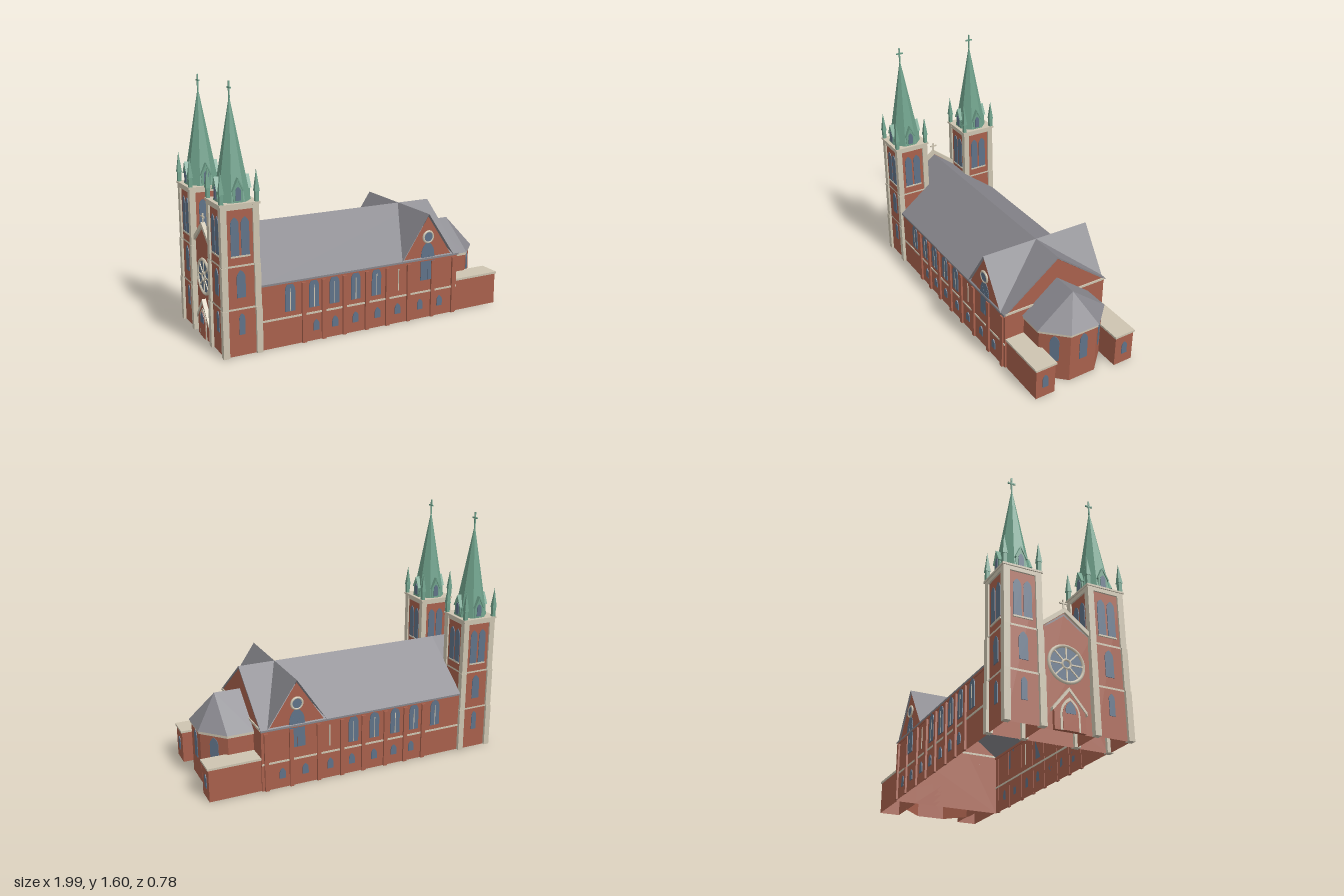
import * as THREE from 'three';

const mat = (name, color) => Object.assign(
  new THREE.MeshStandardMaterial({ color, side: THREE.DoubleSide }), { name });

export function createModel() {
  const root = new THREE.Group();
  root.name = 'church';
  const brick = mat('brick', 0xa8604c), stone = mat('stone', 0xcdc4b0),
    slate = mat('slate', 0x86858b), copper = mat('copper', 0x6fa18b), glass = mat('glass', 0x5f7288);

  const add = (parent, name, geo, m, x = 0, y = 0, z = 0, ry = 0) => {
    const mesh = new THREE.Mesh(geo, m);
    mesh.name = name;
    mesh.position.set(x, y, z);
    mesh.rotation.y = ry;
    parent.add(mesh);
    return mesh;
  };
  const box = (p, name, m, w, h, d, x, y, z, ry) =>
    add(p, name, new THREE.BoxGeometry(w, h, d), m, x, y, z, ry);
  // flat polygons, each fanned into triangles
  const faces = (polys) => {
    const v = [];
    for (const p of polys)
      for (let i = 1; i < p.length - 1; i++) v.push(...p[0], ...p[i], ...p[i + 1]);
    const g = new THREE.BufferGeometry();
    g.setAttribute('position', new THREE.Float32BufferAttribute(v, 3));
    g.computeVertexNormals();
    return g;
  };
  // open wall ring over a plan of [x, z] points
  const walls = (plan, y0, y1) => faces(plan.map(([x, z], i) => {
    const [u, w] = plan[(i + 1) % plan.length];
    return [[x, y0, z], [u, y0, w], [u, y1, w], [x, y1, z]];
  }));
  const rect = (x0, x1, z0, z1) => [[x0, z1], [x1, z1], [x1, z0], [x0, z0]];
  const extrude = (pts, depth) => new THREE.ExtrudeGeometry(
    new THREE.Shape(pts.map(([x, y]) => new THREE.Vector2(x, y))), { depth, bevelEnabled: false });
  // thin pointed-arch panel
  const lancet = (p, name, m, w, h, x, y, z, ry = 0, depth = 0.006) => {
    const s = new THREE.Shape(), a = w / 2, k = h - w * 0.85;
    s.moveTo(-a, 0);
    s.lineTo(a, 0);
    s.lineTo(a, k);
    s.quadraticCurveTo(a, k + w * 0.5, 0, h);
    s.quadraticCurveTo(-a, k + w * 0.5, -a, k);
    return add(p, name, new THREE.ExtrudeGeometry(s, { depth, bevelEnabled: false, curveSegments: 5 }), m, x, y, z, ry);
  };
  // roof shell running along x
  const chevron = (name, x0, x1, half, eave, ridge) => {
    const t = 0.012;
    const g = extrude([[-half, eave], [0, ridge], [half, eave], [half, eave - t], [0, ridge - t], [-half, eave - t]], x1 - x0);
    g.rotateY(Math.PI / 2);
    return add(root, name, g, slate, x0, 0, 0);
  };
  const cross = (p, m, x, y, z, h, arm) => {
    box(p, 'crossPost', m, 0.008, h, 0.008, x, y + h / 2, z);
    box(p, 'crossArm', m, 0.008, 0.009, arm, x, y + h * 0.62, z);
  };

  // nave
  add(root, 'naveWalls', faces([-1, 1].map(s =>
    [[-0.77, 0, s * 0.37], [0.655, 0, s * 0.37], [0.655, 0.41, s * 0.37], [-0.77, 0.41, s * 0.37]])), brick);
  for (const x of [0.655, -0.77])
    add(root, 'naveEndGable', faces([[[x, 0, 0.37], [x, 0, -0.37], [x, 0.405, -0.37], [x, 0.685, 0], [x, 0.405, 0.37]]]), brick);
  chevron('naveRoof', -0.755, 0.66, 0.38, 0.41, 0.70);
  chevron('frontRoof', -0.965, -0.755, 0.16, 0.578, 0.70);
  box(root, 'endBand', stone, 0.008, 0.014, 0.74, 0.658, 0.41, 0);

  // bays along both long sides
  const buttresses = [-0.475, -0.34, -0.195, -0.035, 0.115, 0.275, 0.46, 0.625];
  for (const s of [1, -1]) {
    const z = s * 0.37, ry = s > 0 ? 0 : Math.PI;
    box(root, 'sillBand', stone, 1.405, 0.012, 0.008, -0.048, 0.18, z);
    box(root, 'eaveBand', brick, 1.405, 0.016, 0.012, -0.048, 0.397, z);
    for (const x of buttresses) box(root, 'buttress', brick, 0.026, 0.385, 0.016, x, 0.1925, z + s * 0.005);
    for (const x of [-0.565, -0.405, -0.265, -0.115, 0.035]) {
      lancet(root, 'naveWindow', glass, 0.066, 0.185, x, 0.218, z, ry);
      box(root, 'mullion', stone, 0.005, 0.14, 0.003, x, 0.29, z + s * 0.006);
    }
    box(root, 'mullion', stone, 0.006, 0.145, 0.008, 0.2, 0.293, z);
    for (const x of [-0.39, -0.26, -0.115, 0.045, 0.195, 0.367, 0.52])
      lancet(root, 'lowerWindow', glass, 0.04, 0.07, x, 0.065, z, ry);

    // cross gable, its window and roof
    add(root, 'transeptGable', faces([[[0.23, 0.4, s * 0.372], [0.61, 0.4, s * 0.372], [0.42, 0.685, s * 0.372]]]), brick);
    for (const d of [-0.027, 0.027])
      lancet(root, 'transeptWindow', glass, 0.05, 0.2, 0.42 + d, 0.26, z, ry);
    lancet(root, 'transeptWindowHead', glass, 0.1, 0.2, 0.42, 0.32, z, ry, 0.005);
    const disc = new THREE.CylinderGeometry(0.034, 0.034, 0.009, 24).rotateX(Math.PI / 2);
    add(root, 'oculusGlass', disc, glass, 0.42, 0.55, z + s * 0.005);
    add(root, 'oculusRing', new THREE.TorusGeometry(0.036, 0.008, 6, 24), stone, 0.42, 0.55, z + s * 0.005);
    add(root, 'transeptRoof', faces([-1, 1].map(d =>
      [[0.42, 0.702, 0], [0.42, 0.702, s * 0.382], [0.42 + d * 0.2, 0.405, s * 0.382]])), slate);

    // low annex beside the apse
    const [z0, z1] = s > 0 ? [0.225, 0.36] : [-0.36, -0.225];
    add(root, 'annexWalls', walls(rect(0.655, 0.988, z0, z1), 0, 0.215), brick);
    box(root, 'annexRoof', stone, 0.34, 0.014, 0.148, 0.825, 0.217, s * 0.292);
    lancet(root, 'annexWindow', glass, 0.04, 0.09, 0.986, 0.07, s * 0.295, Math.PI / 2);
  }

  // apse
  const apsePlan = (o) => [[0.655, 0.235 + o], [0.82 + o / 2, 0.235 + o], [0.955 + o, 0.095 + o / 2],
    [0.955 + o, -0.095 - o / 2], [0.82 + o / 2, -0.235 - o], [0.655, -0.235 - o]];
  add(root, 'apseWalls', walls(apsePlan(0), 0, 0.352), brick);
  add(root, 'apseCornice', walls(apsePlan(0.008), 0.336, 0.355), stone);
  const e = apsePlan(0.014).map(([x, z]) => [x, 0.355, z]), a = [0.655, 0.55, 0], b = [0.825, 0.55, 0];
  add(root, 'apseRoof', faces([[a, e[0], e[1], b], [b, e[1], e[2]], [b, e[2], e[3]], [b, e[3], e[4]], [b, e[4], e[5], a]]), slate);
  lancet(root, 'apseWindow', glass, 0.056, 0.185, 0.953, 0.14, 0, Math.PI / 2);
  for (const s of [1, -1])
    lancet(root, 'apseWindow', glass, 0.058, 0.185, 0.886, 0.14, s * 0.164, Math.PI / 2 - s * 0.767);

  // entrance front between the towers, facing -x
  const front = new THREE.Group();
  front.name = 'entranceFront';
  front.position.x = -0.965;
  front.rotation.y = -Math.PI / 2;
  root.add(front);
  add(front, 'frontGable', faces([[[-0.165, 0, 0], [0.165, 0, 0], [0.165, 0.575, 0], [0, 0.705, 0], [-0.165, 0.575, 0]]]), brick);
  add(front, 'gableCoping', extrude([[-0.16, 0.61], [0, 0.735], [0.16, 0.61], [0.16, 0.58], [0, 0.705], [-0.16, 0.58]], 0.025), stone, 0, 0, -0.012);
  cross(root, stone, -0.965, 0.73, 0, 0.06, 0.05);
  add(front, 'roseGlass', new THREE.CircleGeometry(0.108, 32), glass, 0, 0.39, 0.004);
  add(front, 'roseRing', new THREE.TorusGeometry(0.108, 0.01, 6, 32), stone, 0, 0.39, 0.004);
  add(front, 'roseHub', new THREE.TorusGeometry(0.026, 0.007, 6, 20), stone, 0, 0.39, 0.006);
  for (let i = 0; i < 8; i++) {
    const t = i * Math.PI / 4;
    box(front, 'roseSpoke', stone, 0.08, 0.008, 0.008, Math.cos(t) * 0.066, 0.39 + Math.sin(t) * 0.066, 0.005).rotation.z = t;
  }
  add(front, 'portal', extrude([[-0.095, 0], [0.095, 0], [0.095, 0.12], [0, 0.235], [-0.095, 0.12]], 0.02), brick);
  add(front, 'portalCoping', extrude([[-0.105, 0.12], [0, 0.247], [0.105, 0.12], [0.105, 0.1], [0, 0.225], [-0.105, 0.1]], 0.026), stone);
  lancet(front, 'portalFrame', stone, 0.12, 0.19, 0, 0, 0.02, 0, 0.004);
  lancet(front, 'door', brick, 0.095, 0.17, 0, 0, 0.02, 0, 0.007);
  lancet(front, 'doorLight', glass, 0.06, 0.07, 0, 0.095, 0.02, 0, 0.009);

  // twin towers
  for (const side of [1, -1]) {
    const t = new THREE.Group();
    t.name = side > 0 ? 'frontTower' : 'backTower';
    t.position.set(-0.875, 0, side * 0.268);
    root.add(t);
    const sq = (h) => rect(-h, h, -h, h);
    add(t, 'towerWalls', walls(sq(0.107), 0, 0.9), brick);
    for (const y of [0.285, 0.545]) add(t, 'towerBand', walls(sq(0.113), y, y + 0.012), stone);
    box(t, 'towerCornice', stone, 0.234, 0.03, 0.234, 0, 0.899, 0);
    box(t, 'towerParapet', stone, 0.248, 0.012, 0.248, 0, 0.914, 0);
    for (const sx of [1, -1]) for (const sz of [1, -1]) {
      for (const [y0, y1, h] of [[0, 0.29, 0.124], [0.29, 0.55, 0.121], [0.55, 0.91, 0.118]])
        box(t, 'cornerPier', stone, 0.038, y1 - y0, 0.038, sx * (h - 0.019), (y0 + y1) / 2, sz * (h - 0.019));
      // corner pinnacles
      box(t, 'pinnacleBase', copper, 0.022, 0.07, 0.022, sx * 0.108, 0.95, sz * 0.108);
      const cap = new THREE.ConeGeometry(0.021, 0.13, 4).rotateY(Math.PI / 4).toNonIndexed();
      cap.computeVertexNormals();
      add(t, 'pinnacleCap', cap, copper, sx * 0.108, 1.045, sz * 0.108);
    }
    // eight-sided spire
    const spire = new THREE.ConeGeometry(0.108, 0.6, 8).rotateY(Math.PI / 8).toNonIndexed();
    spire.computeVertexNormals();
    add(t, 'spire', spire, copper, 0, 1.22, 0);
    cross(t, copper, 0, 1.5, 0, 0.1, 0.048);

    // windows and dormers on each face
    for (let i = 0; i < 4; i++) {
      const f = new THREE.Group();
      f.name = 'towerFace';
      f.rotation.y = i * Math.PI / 2;
      t.add(f);
      for (const d of [-0.032, 0.032]) lancet(f, 'belfryWindow', glass, 0.05, 0.23, d, 0.61, 0.105);
      box(f, 'belfrySill', stone, 0.12, 0.01, 0.012, 0, 0.607, 0.108);
      const outer = i === 3 || (side > 0 ? i === 0 : i === 2);
      if (outer) {
        lancet(f, 'middleWindow', glass, 0.054, 0.165, 0, 0.358, 0.105);
        lancet(f, 'lowWindow', glass, 0.036, 0.13, 0, 0.13, 0.105);
      }
      add(f, 'dormer', extrude([[-0.03, 0.92], [0.03, 0.92], [0.03, 0.99], [0, 1.05], [-0.03, 0.99]], 0.07), copper, 0, 0, 0.03);
      add(f, 'dormerRoof', extrude([[-0.038, 0.985], [0, 1.062], [0.038, 0.985], [0.03, 0.985], [0, 1.048], [-0.03, 0.985]], 0.08), copper, 0, 0, 0.027);
      lancet(f, 'dormerWindow', glass, 0.032, 0.08, 0, 0.932, 0.098);
    }
  }
  return root;
}
